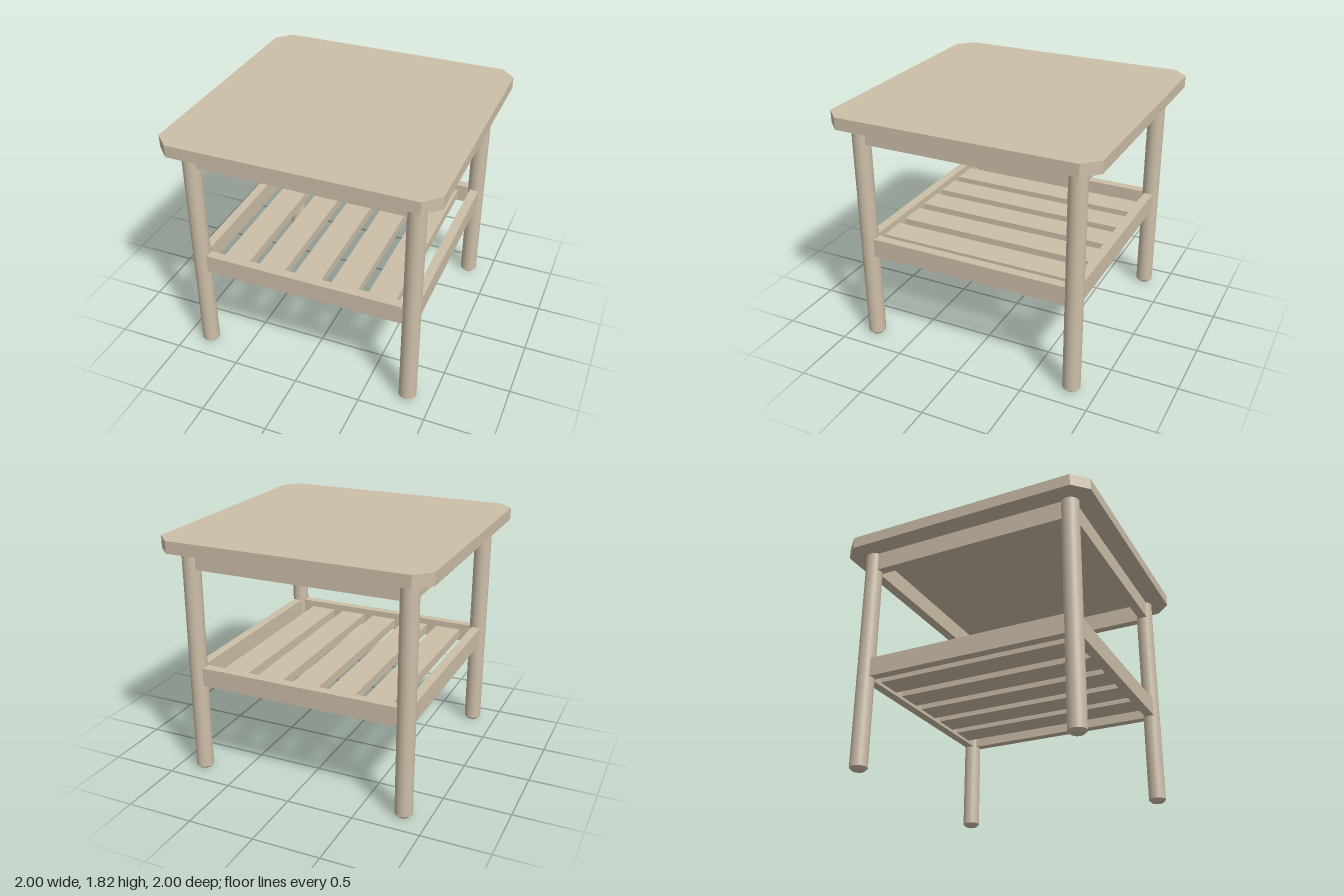
import * as THREE from 'three';

export function createModel() {
  const table = new THREE.Group();
  table.name = 'sideTable';
  const wood = new THREE.MeshStandardMaterial({ color: 0xcdbfa9 });
  wood.name = 'pale wood';

  const add = (name, geometry, x = 0, y = 0, z = 0) => {
    const mesh = new THREE.Mesh(geometry, wood);
    mesh.name = name;
    mesh.position.set(x, y, z);
    table.add(mesh);
    return mesh;
  };

  // Square top with cut corners
  const c = 0.89;
  const outline = new THREE.Shape([
    [c, -1], [1, -c], [1, c], [c, 1], [-c, 1], [-1, c], [-1, -c], [-c, -1],
  ].map(([x, y]) => new THREE.Vector2(x, y)));
  const top = new THREE.ExtrudeGeometry(outline, { depth: 0.09, bevelEnabled: false });
  top.rotateX(-Math.PI / 2);
  add('tableTop', top, 0, 1.73, 0);

  // Round legs, each with a chamfered foot
  const legPos = 0.815, legR = 0.065, footH = 0.02;
  const shaft = new THREE.CylinderGeometry(legR, legR, 1.73 - footH, 32);
  const foot = new THREE.CylinderGeometry(legR, 0.045, footH, 32);
  for (const x of [-legPos, legPos]) {
    for (const z of [-legPos, legPos]) {
      add('leg', shaft, x, (1.73 + footH) / 2, z);
      add('foot', foot, x, footH / 2, z);
    }
  }

  // Upper aprons and lower shelf rails on all four sides
  const rail = new THREE.BoxGeometry(1.57, 0.143, 0.07);
  for (const [name, y] of [['apron', 1.6585], ['shelfRail', 0.767]]) {
    for (let i = 0; i < 4; i++) {
      const a = i * Math.PI / 2;
      add(name, rail, Math.sin(a) * legPos, y, Math.cos(a) * legPos).rotation.y = a;
    }
  }

  // Shelf slats running front to back
  const slat = new THREE.BoxGeometry(0.205, 0.07, 1.58);
  for (let i = -2; i <= 2; i++) add('shelfSlat', slat, i * 0.285, 0.755, 0);

  return table;
}
